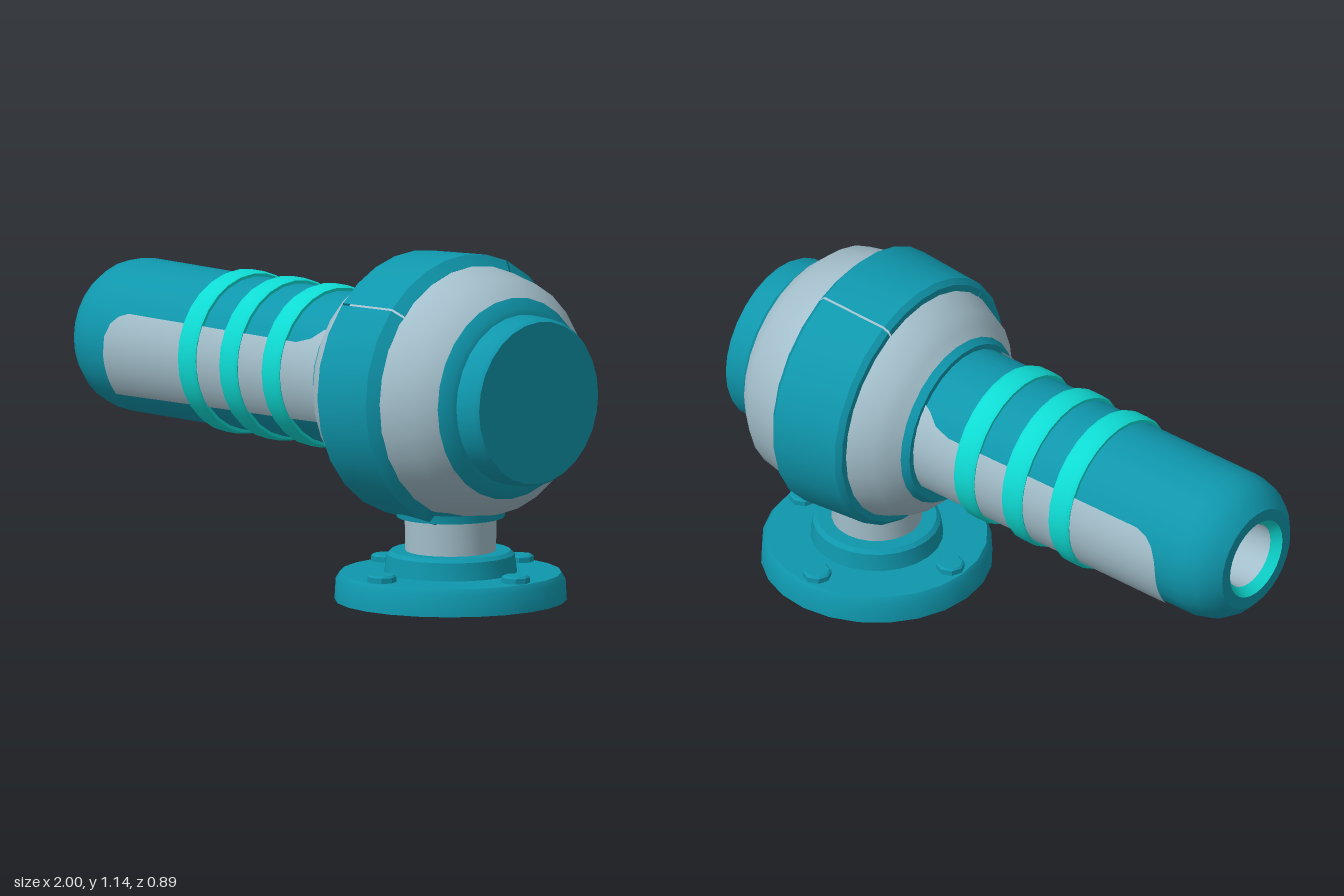
import * as THREE from 'three';
import { toCreasedNormals } from 'three/addons/utils/BufferGeometryUtils.js';

const mat = (name, color, side = THREE.FrontSide) => {
  const m = new THREE.MeshStandardMaterial({ color, side });
  m.name = name;
  return m;
};

export function createModel() {
  const teal = mat('teal', 0x0f97ad, THREE.DoubleSide);
  const grey = mat('pale grey', 0xa3bfcb, THREE.DoubleSide);
  const cyan = mat('bright cyan', 0x0edcd4);
  const model = new THREE.Group();
  model.name = 'cannonTurret';

  const add = (name, geometry, material, parent) => {
    const mesh = new THREE.Mesh(geometry, material);
    mesh.name = name;
    parent.add(mesh);
    return mesh;
  };
  // Turned part: profile pairs are [position along axis, radius]
  const turned = (profile, segs = 28, start = 0, length = Math.PI * 2) =>
    toCreasedNormals(new THREE.LatheGeometry(
      profile.map(([a, r]) => new THREE.Vector2(r, a)), segs, start, length), 0.6);
  const alongX = (...args) => turned(...args).rotateZ(-Math.PI / 2);

  // Barrel with a recessed muzzle
  const barrel = new THREE.Group();
  barrel.name = 'barrel';
  barrel.position.y = 0.70;
  model.add(barrel);
  add('barrelTube', alongX([[-1, 0.135], [-1, 0.175], [-0.97, 0.21], [-0.93, 0.236],
    [-0.87, 0.25], [0.3, 0.25]]), teal, barrel);
  add('muzzleRim', alongX([[-0.97, 0.11], [-1, 0.135]]), cyan, barrel);
  add('muzzleBore', alongX([[-0.85, 0], [-0.85, 0.11], [-0.97, 0.11]]), grey, barrel);
  for (const x of [-0.385, -0.19, 0.01]) {
    add('barrelRing', alongX([[-0.042, 0.245], [-0.042, 0.26], [-0.026, 0.267],
      [0.026, 0.267], [0.042, 0.26], [0.042, 0.245]]), cyan, barrel).position.x = x;
  }

  // Side panels: each column is [x, lower height, upper height], wrapped on the tube
  const columns = [[-0.785, -0.165, -0.03], [-0.78, -0.165, 0.03], [-0.76, -0.164, 0.075],
    [-0.73, -0.164, 0.1], [-0.69, -0.163, 0.113], [0.1, -0.145, 0.113],
    [0.16, -0.143, 0.13], [0.2, -0.142, 0.16], [0.25, -0.14, 0.18]];
  const panelRadius = 0.257, rows = 8;
  for (const side of [1, -1]) {
    const g = new THREE.PlaneGeometry(1, 1, columns.length - 1, rows);
    const p = g.attributes.position, n = g.attributes.normal;
    for (let i = 0; i < p.count; i++) {
      const [x, low, high] = columns[i % columns.length];
      const t = 1 - Math.floor(i / columns.length) / rows;
      const a = THREE.MathUtils.lerp(Math.asin(low / panelRadius), Math.asin(high / panelRadius), t);
      p.setXYZ(i, x, panelRadius * Math.sin(a), side * panelRadius * Math.cos(a));
      n.setXYZ(i, 0, Math.sin(a), side * Math.cos(a));
    }
    if (side < 0) {
      // Reverse the corner order on the far side
      const idx = g.index.array;
      for (let i = 0; i < idx.length; i += 3) [idx[i], idx[i + 1]] = [idx[i + 1], idx[i]];
    }
    add(side > 0 ? 'frontSidePanel' : 'backSidePanel', g, grey, barrel);
  }

  // Rounded housing
  const housing = new THREE.Group();
  housing.name = 'housing';
  housing.position.y = 0.692;
  model.add(housing);
  add('barrelCollar', alongX([[0.225, 0.24], [0.225, 0.275], [0.25, 0.29]]), teal, housing);
  add('housingShell', alongX([[0.25, 0.29], [0.275, 0.318], [0.31, 0.355], [0.4, 0.395],
    [0.54, 0.41], [0.69, 0.412], [0.81, 0.388], [0.872, 0.33]]), grey, housing);
  add('endCap', alongX([[0.872, 0.33], [0.9, 0.298], [0.905, 0.278], [0.985, 0.276],
    [1, 0.266], [1, 0]]), teal, housing);

  // Outer band in two arcs with narrow seams between them
  const band = [[0.395, 0.39], [0.395, 0.415], [0.412, 0.432], [0.655, 0.447], [0.685, 0.412], [0.685, 0.395]];
  const deg = THREE.MathUtils.degToRad;
  add('bandLower', alongX(band, 20, deg(-42), deg(287)), teal, housing);
  add('bandClip', alongX(band, 6, deg(-114), deg(71)), teal, housing);

  // Pedestal
  const base = new THREE.Group();
  base.name = 'pedestal';
  base.position.x = 0.585;
  model.add(base);
  add('baseDisc', turned([[0, 0], [0, 0.377], [0.07, 0.373], [0.09, 0.36], [0.092, 0.2]], 24), teal, base);
  add('baseStep', turned([[0.085, 0.217], [0.15, 0.208], [0.162, 0.195], [0.162, 0.14]], 24), teal, base);
  add('post', turned([[0.15, 0.147], [0.3, 0.15]], 24), grey, base);
  add('postCollar', turned([[0.273, 0.14], [0.273, 0.176], [0.3, 0.18], [0.34, 0.22]], 24), teal, base);
  for (let i = 0; i < 4; i++) {
    const a = i * Math.PI / 2;
    add('bolt', turned([[0.08, 0.047], [0.108, 0.047], [0.114, 0.04], [0.114, 0]], 8), teal, base)
      .position.set(0.307 * Math.cos(a), 0, 0.307 * Math.sin(a));
  }
  return model;
}
